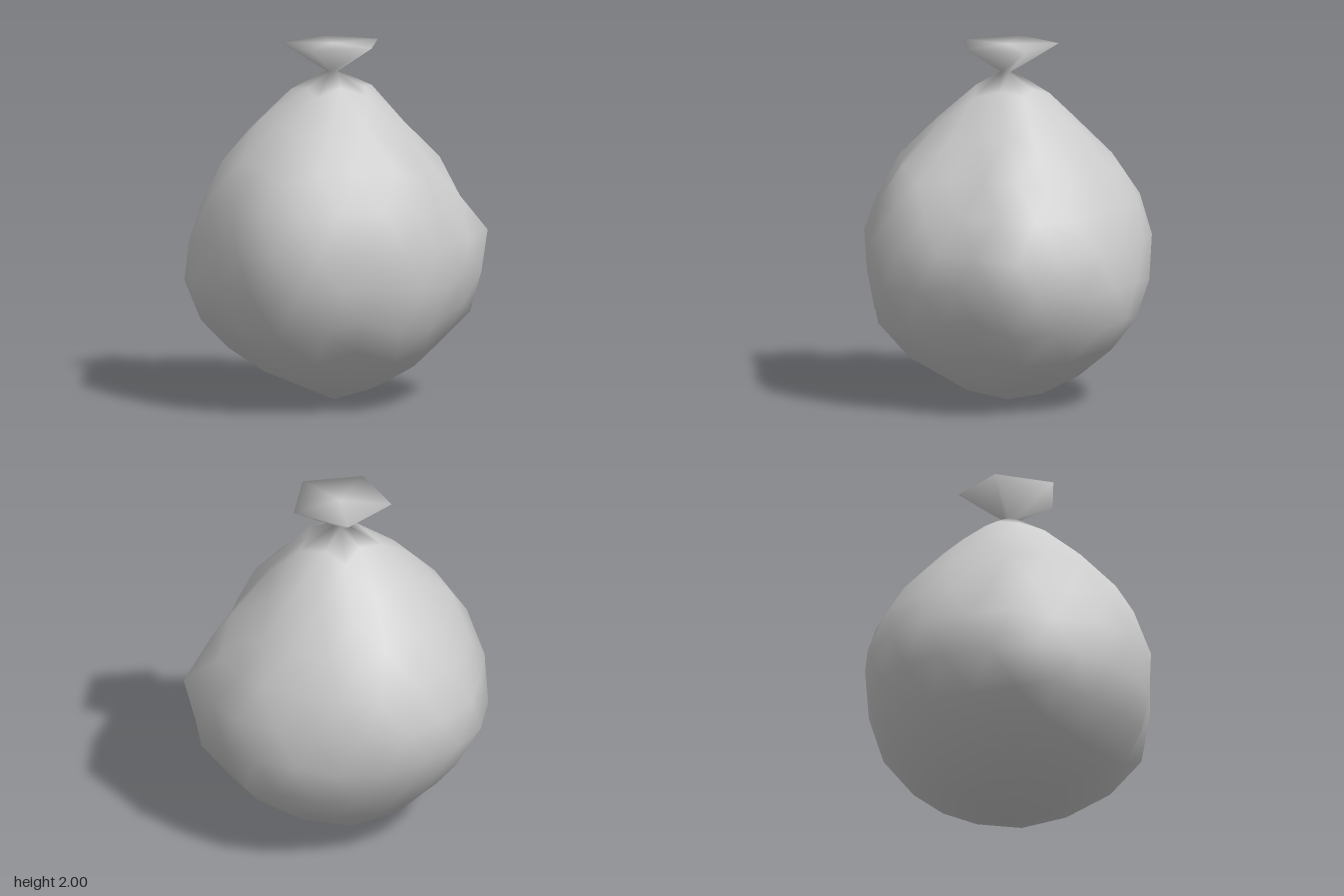
import * as THREE from 'three';
import { mergeGeometries, mergeVertices } from 'three/addons/utils/BufferGeometryUtils.js';

const CENTRE_Y = 0.9;
const MEAN_RADIUS = 0.857;
const NECK_Y = 1.845;
const NECK_RADIUS = 0.035;
const AXIS_X = -0.01;

// Sack profiles as [distance from axis, height], listed by angle from +x towards +z
const PROFILES = [
  [0, [[0.22, 1.77], [0.42, 1.5], [0.63, 1.29], [0.71, 1.08], [0.85, 0.92], [0.81, 0.64],
    [0.72, 0.43], [0.35, 0.14], [0.2, 0.05]]],
  [40, [[0.18, 1.75], [0.42, 1.46], [0.58, 1.28], [0.7, 1.08], [0.78, 0.9], [0.79, 0.69],
    [0.6, 0.33], [0.2, 0.06]]],
  [90, [[0.2, 1.77], [0.45, 1.5], [0.71, 1.3], [0.78, 1.05], [0.84, 0.88], [0.8, 0.66],
    [0.75, 0.43], [0.42, 0.15]]],
  [145, [[0.2, 1.75], [0.35, 1.62], [0.56, 1.41], [0.84, 0.9], [0.75, 0.43], [0.51, 0.22]]],
  [180, [[0.16, 1.77], [0.22, 1.71], [0.47, 1.54], [0.7, 1.28], [0.8, 0.86], [0.85, 0.66],
    [0.61, 0.31], [0.45, 0.18], [0.17, 0.08]]],
  [215, [[0.19, 1.77], [0.51, 1.47], [0.7, 1.16], [0.8, 0.98], [0.85, 0.74], [0.75, 0.5],
    [0.5, 0.24], [0.28, 0.09]]],
  [270, [[0.1, 1.8], [0.24, 1.72], [0.45, 1.5], [0.62, 1.35], [0.78, 1.09], [0.84, 0.86],
    [0.66, 0.42], [0.57, 0.27], [0.4, 0.12]]],
  [325, [[0.19, 1.75], [0.52, 1.38], [0.73, 1.13], [0.79, 0.9], [0.79, 0.47], [0.58, 0.27],
    [0.4, 0.14]]],
].map(([angle, points]) => [angle, [[0, NECK_Y], ...points, [0, 0]].map(
  ([r, y]) => [Math.atan2(r, y - CENTRE_Y), Math.hypot(r, y - CENTRE_Y)])]);
PROFILES.push([360, PROFILES[0][1]]);

// Uneven girth as [angle, radius]
const GIRTH = [[0, 0.8], [18, 0.915], [47, 0.78], [66, 0.82], [92, 0.85], [109, 0.78], [126, 0.84],
  [144, 0.86], [163, 0.85], [176, 0.79], [193, 0.88], [216, 0.83], [224, 0.86], [252, 0.86],
  [270, 0.86], [302, 0.83], [313, 0.82], [343, 0.85], [360, 0.8]];

// Draws the upper rings of the sphere in towards the tied neck
const GATHER = [[0, 0], [0.28, 0.04], [0.53, 0.25], [0.82, 0.61], [1.1, 1.02], [1.4, 1.37], [Math.PI, Math.PI]];

function sample(table, t) {
  for (let i = 1; i < table.length; i++) {
    const [a, va] = table[i - 1];
    const [b, vb] = table[i];
    if (t <= b) return va + (vb - va) * Math.max(0, (t - a) / (b - a));
  }
  return table[table.length - 1][1];
}

function weld(geometry) {
  geometry.deleteAttribute('normal');
  geometry.deleteAttribute('uv');
  return mergeVertices(geometry, 1e-3);
}

// Coarse sphere with a corner at each pole, pushed in and out into a lumpy sack
function sackGeometry() {
  const sphere = new THREE.IcosahedronGeometry(1, 3);
  sphere.rotateZ(-Math.atan(2 / (1 + Math.sqrt(5))));
  const geometry = weld(sphere);
  const pos = geometry.attributes.position;
  const v = new THREE.Vector3();
  for (let i = 0; i < pos.count; i++) {
    v.fromBufferAttribute(pos, i).normalize();
    const ringPolar = Math.acos(THREE.MathUtils.clamp(v.y, -1, 1));
    const azimuth = Math.atan2(v.z, v.x);
    if (ringPolar < 0.35) {
      // The top corner and the five around it form the flat neck opening
      const r = ringPolar < 0.05 ? 0 : NECK_RADIUS;
      pos.setXYZ(i, AXIS_X + r * Math.cos(azimuth), NECK_Y, r * Math.sin(azimuth));
      continue;
    }
    const polar = sample(GATHER, ringPolar);
    const degrees = (THREE.MathUtils.radToDeg(azimuth) + 360) % 360;
    const radius = sample(PROFILES.map(([angle, profile]) => [angle, sample(profile, polar)]), degrees);
    const girth = sample(GIRTH, degrees) / MEAN_RADIUS;
    const reach = radius * (1 + (girth - 1) * Math.sin(polar) ** 2);
    const r = reach * Math.sin(polar);
    pos.setXYZ(i, r * Math.cos(azimuth), CENTRE_Y + reach * Math.cos(polar), r * Math.sin(azimuth));
  }
  return geometry;
}

// Five-sided flare with a flat top, rising from the neck
function flareGeometry() {
  const height = 2 - NECK_Y;
  const flare = new THREE.CylinderGeometry(0.29, NECK_RADIUS, height, 5, 1, false, Math.PI / 2);
  flare.translate(AXIS_X, NECK_Y + height / 2, 0);
  return weld(flare);
}

// Joins both parts at the neck, dropping the faces that would close it off
function joinedGeometry() {
  const geometry = mergeVertices(mergeGeometries([sackGeometry(), flareGeometry()]), 1e-3);
  const { index } = geometry;
  const pos = geometry.attributes.position;
  const kept = [];
  for (let i = 0; i < index.count; i += 3) {
    const corners = [index.getX(i), index.getX(i + 1), index.getX(i + 2)];
    if (!corners.every((c) => Math.abs(pos.getY(c) - NECK_Y) < 1e-3)) kept.push(...corners);
  }
  geometry.setIndex(kept);
  geometry.computeVertexNormals();
  return geometry;
}

export function createModel() {
  const model = new THREE.Group();
  model.name = 'tiedSack';
  const grey = new THREE.MeshStandardMaterial({ color: 0xcccccc });
  grey.name = 'lightGrey';

  const sack = new THREE.Mesh(joinedGeometry(), grey);
  sack.name = 'sackWithGatheredTop';
  model.add(sack);
  return model;
}
